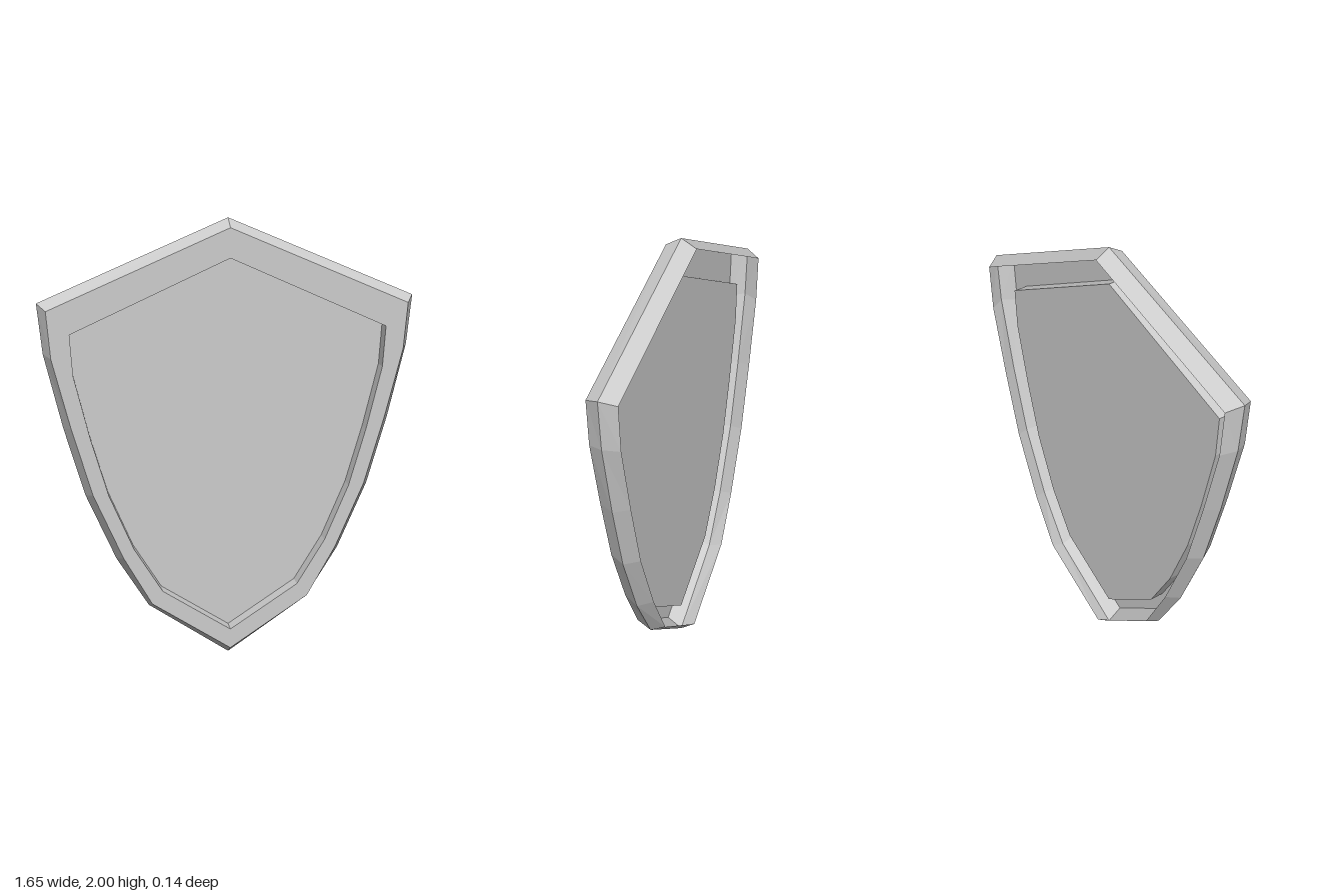
import * as THREE from 'three';

const DEPTH = 0.068;

// Right half of each outline, from the top point down to the bottom point
const OUTER = [[0, 2], [0.826, 1.65], [0.805, 1.43], [0.728, 1.1], [0.64, 0.79], [0.509, 0.485], [0.366, 0.252], [0, 0]];
const LIP = [[0, 1.963], [0.789, 1.625], [0.773, 1.42], [0.696, 1.11], [0.609, 0.805], [0.482, 0.508], [0.356, 0.282], [0, 0.045]];
const INNER = [[0, 1.834], [0.692, 1.523], [0.681, 1.342], [0.614, 1.06], [0.54, 0.8], [0.434, 0.547], [0.308, 0.34], [0, 0.137]];

// Mirror a half outline into a full loop, counter-clockwise seen from the front
function fullLoop(half) {
  const left = half.map(([x, y]) => [-x, y]);
  const right = half.slice(1, -1).reverse();
  return [...left, ...right];
}

// Band of quads joining two loops at given depths; it faces left of travel from a to b
function band(halfA, zA, halfB, zB) {
  const a = fullLoop(halfA), b = fullLoop(halfB), pos = [];
  for (let i = 0; i < a.length; i++) {
    const j = (i + 1) % a.length;
    const p = [...a[i], zA], q = [...a[j], zA], r = [...b[j], zB], s = [...b[i], zB];
    pos.push(...p, ...q, ...r, ...p, ...r, ...s);
  }
  const geometry = new THREE.BufferGeometry();
  geometry.setAttribute('position', new THREE.Float32BufferAttribute(pos, 3));
  geometry.computeVertexNormals();
  return geometry;
}

export function createModel() {
  const shield = new THREE.Group();
  shield.name = 'shield';
  const material = new THREE.MeshStandardMaterial({
    color: 0xcccccc, flatShading: true, side: THREE.DoubleSide,
  });
  const add = (name, geometry) => {
    const mesh = new THREE.Mesh(geometry, material);
    mesh.name = name;
    shield.add(mesh);
  };

  // Thin rim shell: two bevels meeting at the outer ridge, open at the back
  add('rimBackBevel', band(LIP, -DEPTH, OUTER, 0));
  add('rimFrontBevel', band(OUTER, 0, LIP, DEPTH));
  add('rimFrontFace', band(LIP, DEPTH, INNER, DEPTH));

  // Wall stepping down from the rim to the recessed panel
  add('rimInnerWall', band(INNER, DEPTH, INNER, 0));

  // Flat panel closing the opening
  const outline = new THREE.Shape(fullLoop(INNER).map(([x, y]) => new THREE.Vector2(x, y)));
  add('panel', new THREE.ShapeGeometry(outline));

  return shield;
}
